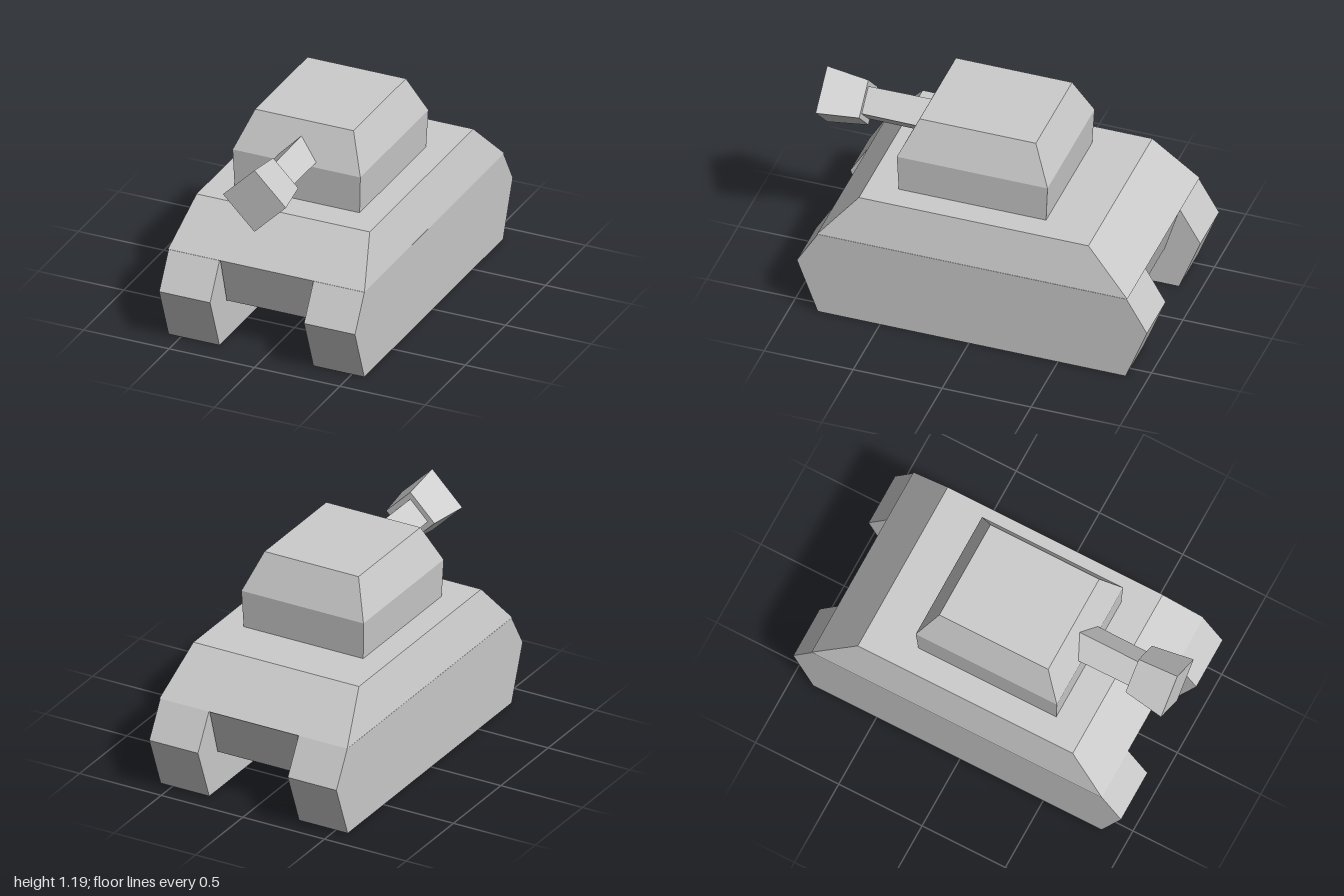
import * as THREE from 'three';

const material = new THREE.MeshStandardMaterial({ color: 0xcccccc, flatShading: true });

// Stacks rectangular sections [y, x0, x1, zBack, zFront] from bottom to top into a closed solid
function loft(sections) {
  const positions = [];
  const index = [];
  for (const [y, x0, x1, zb, zf] of sections) {
    positions.push(x0, y, zf, x1, y, zf, x1, y, zb, x0, y, zb);
  }
  const quad = (a, b, c, d) => index.push(a, b, c, a, c, d);
  for (let s = 0; s < sections.length - 1; s++) {
    for (let i = 0; i < 4; i++) {
      const j = (i + 1) % 4;
      quad(s * 4 + i, s * 4 + j, s * 4 + 4 + j, s * 4 + 4 + i);
    }
  }
  const t = (sections.length - 1) * 4;
  quad(3, 2, 1, 0);
  quad(t, t + 1, t + 2, t + 3);
  const geometry = new THREE.BufferGeometry();
  geometry.setAttribute('position', new THREE.Float32BufferAttribute(positions, 3));
  geometry.setIndex(index);
  const flat = geometry.toNonIndexed();
  flat.computeVertexNormals();
  return flat;
}

// Four-sided tapered tube lying along z, with its corners up, down and sideways
function gunSection(rBack, rFront, zBack, zFront) {
  const geometry = new THREE.CylinderGeometry(rFront, rBack, zFront - zBack, 4);
  geometry.rotateX(Math.PI / 2);
  geometry.translate(0, 0.997, (zBack + zFront) / 2);
  return geometry;
}

export function createModel() {
  const model = new THREE.Group();
  model.name = 'tank';
  const add = (name, geometry) => {
    const mesh = new THREE.Mesh(geometry, material);
    mesh.name = name;
    model.add(mesh);
  };

  // Tracks: six-sided side profile, one on each side
  for (const [name, x0, x1] of [['leftTrack', 0.275, 0.573], ['rightTrack', -0.573, -0.275]]) {
    add(name, loft([
      [0, x0, x1, -0.88, 0.85],
      [0.31, x0, x1, -1, 0.967],
      [0.507, x0, x1, -0.885, 0.85],
    ]));
  }

  // Belly between the tracks, narrowing downwards at front and back
  add('belly', loft([
    [0.232, -0.27, 0.27, -0.8, 0.77],
    [0.51, -0.27, 0.27, -0.885, 0.85],
  ]));

  // Sloped upper hull
  add('upperHull', loft([
    [0.51, -0.575, 0.575, -0.89, 0.853],
    [0.755, -0.507, 0.507, -0.648, 0.642],
  ]));

  // Turret, widest at the middle
  add('turret', loft([
    [0.755, -0.366, 0.366, -0.36, 0.468],
    [0.972, -0.374, 0.374, -0.371, 0.476],
    [1.186, -0.288, 0.288, -0.275, 0.378],
  ]));

  // Gun
  add('barrel', gunSection(0.111, 0.107, 0.38, 0.78));
  add('muzzle', gunSection(0.148, 0.184, 0.768, 1));

  return model;
}
